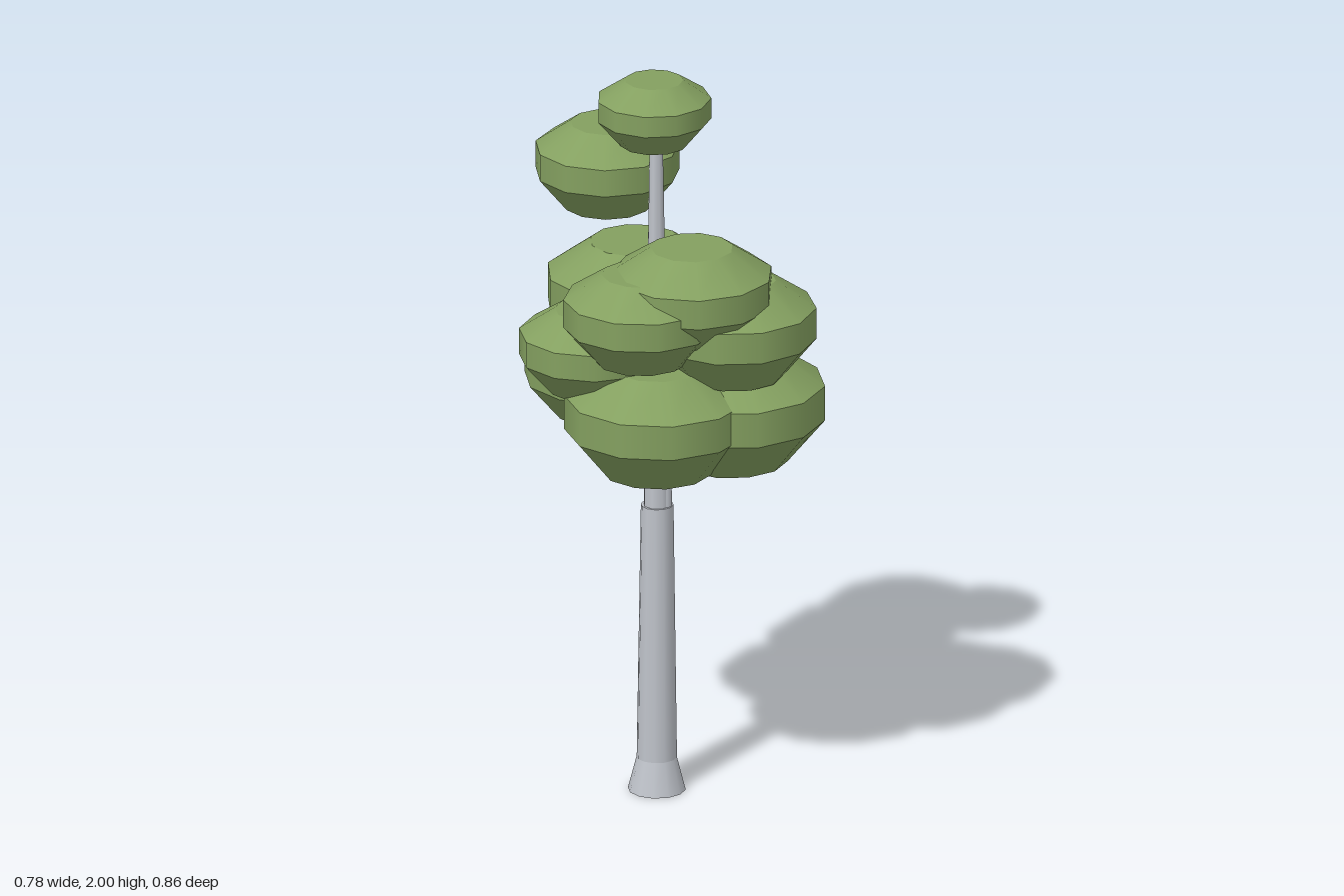
import * as THREE from 'three';
import { mergeGeometries } from 'three/addons/utils/BufferGeometryUtils.js';

const foliageGreen = new THREE.MeshStandardMaterial({ color: 0x84a060 });
const barkGrey = new THREE.MeshStandardMaterial({ color: 0xbfc3ca });

// Stacked frustums share smooth sides but keep crisp horizontal rims.
function leafClump(radius, height, turn) {
  const sides = 11;
  const rings = [[0, 0.6], [0.4, 1], [0.72, 1], [1, 0.51]];
  const parts = [];
  for (let i = 0; i < 3; i++) {
    const [y0, r0] = rings[i], [y1, r1] = rings[i + 1];
    const g = new THREE.CylinderGeometry(r1 * radius, r0 * radius, (y1 - y0) * height, sides, 1, true);
    parts.push(g.translate(0, (y0 + y1) / 2 * height, 0));
  }
  const top = new THREE.CircleGeometry(0.51 * radius, sides);
  const bottom = new THREE.CircleGeometry(0.6 * radius, sides);
  // Circles start on +x and cylinders on +z, so line their corners up
  top.rotateX(-Math.PI / 2).rotateY(-Math.PI / 2).translate(0, height, 0);
  bottom.rotateX(Math.PI / 2).rotateY(-Math.PI / 2);
  parts.push(top, bottom);
  return mergeGeometries(parts).rotateY(turn);
}

// Tapered length of wood, sheared so both ends stay level.
function limb(name, a, b, r0, r1, sides = 12) {
  const h = b[1] - a[1];
  const g = new THREE.CylinderGeometry(r1, r0, h, sides);
  const p = g.attributes.position;
  for (let i = 0; i < p.count; i++) {
    const t = p.getY(i) / h + 0.5;
    p.setXYZ(i, p.getX(i) + a[0] + (b[0] - a[0]) * t, a[1] + h * t, p.getZ(i) + a[2] + (b[2] - a[2]) * t);
  }
  g.computeBoundingSphere();
  const m = new THREE.Mesh(g, barkGrey);
  m.name = name;
  return m;
}

export function createModel() {
  const tree = new THREE.Group();
  tree.name = 'tree';

  // Trunk: flared foot, main stem, slim leader
  tree.add(limb('trunkFoot', [0.002, 0, -0.016], [0.002, 0.09, -0.016], 0.076, 0.053));
  tree.add(limb('trunk', [0.002, 0.09, -0.016], [-0.003, 0.8, -0.002], 0.053, 0.043));
  tree.add(limb('leader', [-0.004, 0.8, 0], [-0.018, 1.86, 0.026], 0.036, 0.018, 8));

  // Short stems rising into the crown
  for (const [x, z] of [[0.02, -0.02], [-0.02, -0.016], [0.015, 0.016]]) {
    tree.add(limb('crownStem', [x * 0.8, 0.79, z * 0.8], [x, 1.3, z], 0.02, 0.014, 8));
  }

  // Foliage: x, z, bottom, top, radius
  const clumps = [
    ['topFoliage', -0.025, 0.028, 1.823, 2.0, 0.15],
    ['upperBackFoliage', -0.068, -0.182, 1.585, 1.815, 0.19],
    ['upperFrontFoliage', 0.005, 0.21, 1.34, 1.59, 0.213],
    ['rightUpperFoliage', -0.13, 0.19, 1.29, 1.53, 0.205],
    ['leftUpperFoliage', 0.122, 0.212, 1.22, 1.485, 0.218],
    ['backFoliage', 0.02, -0.2, 1.17, 1.465, 0.235],
    ['rightFoliage', -0.2, 0.025, 1.165, 1.385, 0.192],
    ['rightLowerFoliage', -0.075, 0.165, 0.965, 1.257, 0.243],
    ['leftLowerFoliage', 0.145, 0.145, 0.957, 1.255, 0.247],
    ['backLowerFoliage', 0.07, -0.145, 0.955, 1.245, 0.24],
    ['innerRightFoliage', -0.11, -0.1, 1.04, 1.29, 0.212],
    ['innerLeftFoliage', 0.125, 0.06, 0.955, 1.175, 0.185],
  ];
  clumps.forEach(([name, x, z, y0, y1, r], i) => {
    const m = new THREE.Mesh(leafClump(r, y1 - y0, i * 0.7), foliageGreen);
    m.position.set(x, y0, z);
    m.name = name;
    tree.add(m);
  });
  return tree;
}
